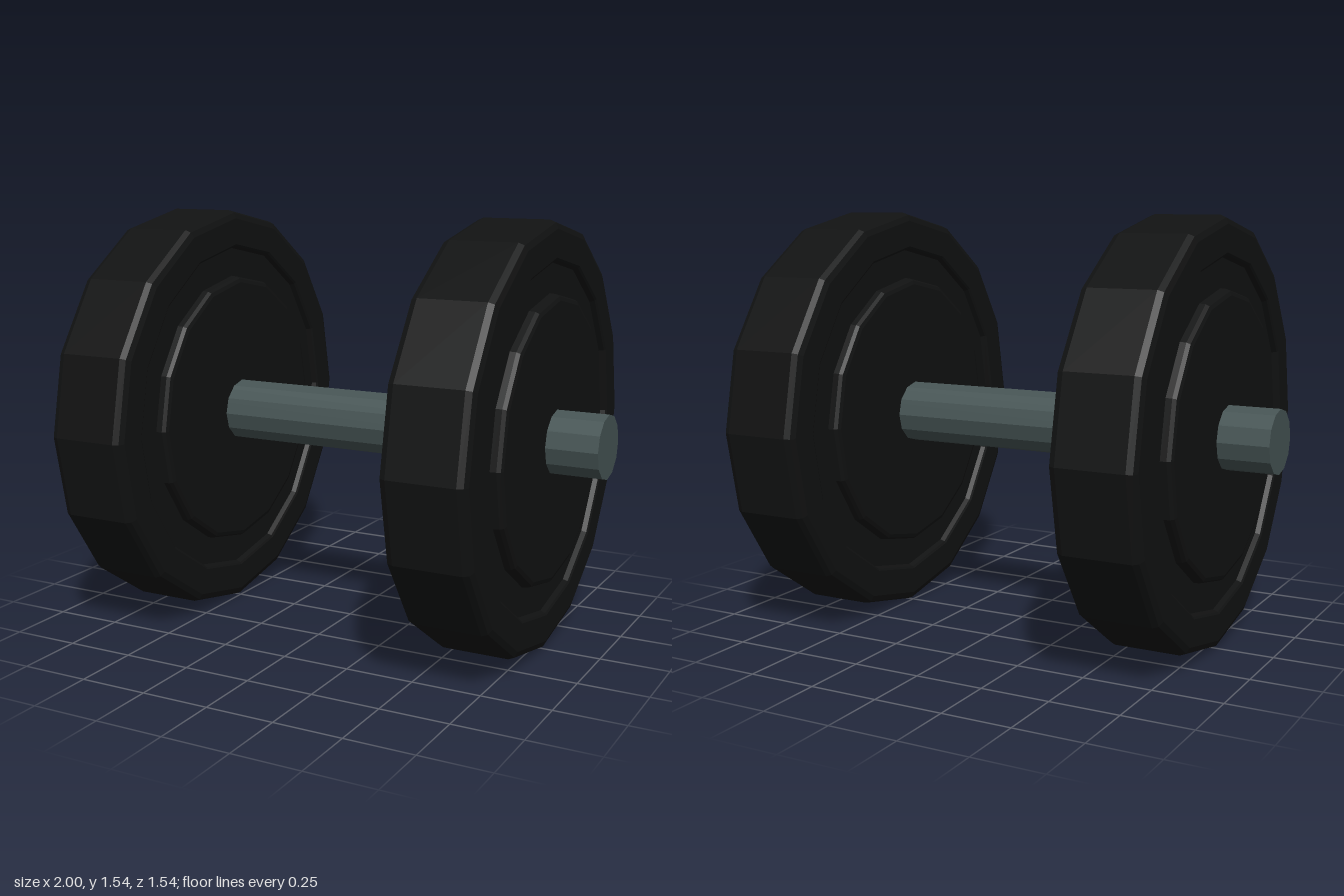
import * as THREE from 'three';

const AXIS_Y = 0.768;

// Half of the plate's cross-section as [radius, distance from the plate's mid-plane]
const HALF_PROFILE = [
  [0.1, 0.168], [0.495, 0.168], [0.509, 0.163], [0.516, 0.15], // raised hub
  [0.518, 0.128], [0.625, 0.128],                              // shallow groove
  [0.632, 0.146], [0.64, 0.151],                               // groove lip
  [0.738, 0.151], [0.759, 0.142], [0.768, 0.121],              // rounded rim
];

export function createModel() {
  const model = new THREE.Group();
  model.name = 'dumbbell';

  const rubber = new THREE.MeshStandardMaterial({ color: 0x111212, flatShading: true });
  const steel = new THREE.MeshStandardMaterial({ color: 0x465454, flatShading: true });

  // Straight twelve-sided bar along x
  const bar = new THREE.Mesh(new THREE.CylinderGeometry(0.115, 0.115, 2, 12), steel);
  bar.name = 'bar';
  bar.rotation.z = -Math.PI / 2;
  bar.position.y = AXIS_Y;
  model.add(bar);

  // Weight plates: the half profile mirrored about the mid-plane, turned in sixteen sides
  const profile = [
    ...HALF_PROFILE.map(([r, d]) => new THREE.Vector2(r, -d)),
    ...HALF_PROFILE.map(([r, d]) => new THREE.Vector2(r, d)).reverse(),
  ];
  const plateGeometry = new THREE.LatheGeometry(profile, 16);
  for (const side of [1, -1]) {
    const plate = new THREE.Mesh(plateGeometry, rubber);
    plate.name = side > 0 ? 'leftPlate' : 'rightPlate';
    plate.rotation.z = -side * Math.PI / 2;
    plate.position.set(side * 0.645, AXIS_Y, 0);
    model.add(plate);
  }

  return model;
}
